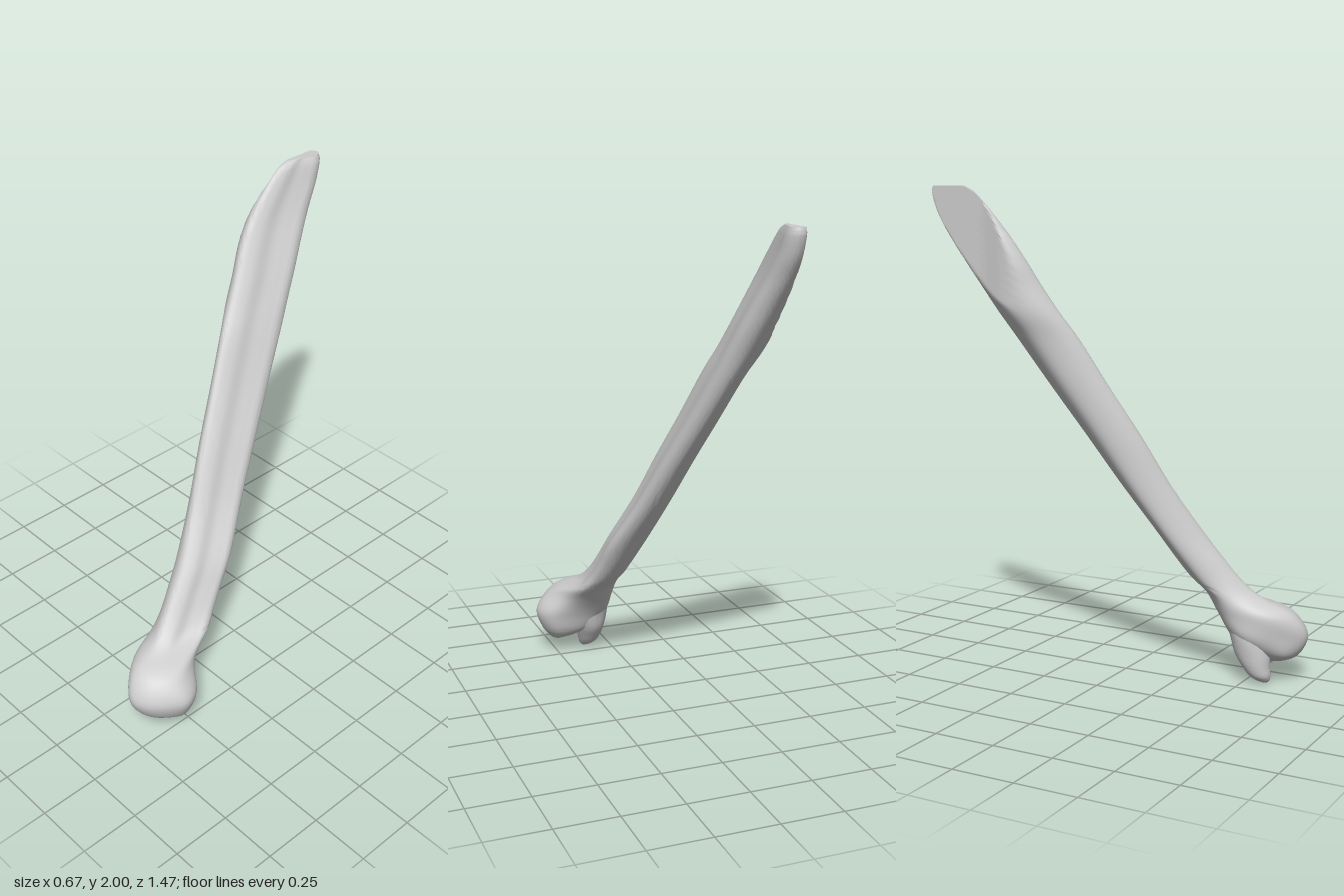
import * as THREE from 'three';
import { toCreasedNormals } from 'three/addons/utils/BufferGeometryUtils.js';

const RING = 60;   // points around each cross-section
const STEPS = 6;   // rows between two given sections

// Skin a stack of closed loops (listed bottom to top, counter-clockwise from above)
function loft(sections, adjust = (p) => p) {
  const count = sections[0].length;
  const columns = [];
  for (let i = 0; i < count; i++) columns.push(new THREE.CatmullRomCurve3(sections.map((s) => s[i])));
  const rows = (sections.length - 1) * STEPS;
  const pos = [], index = [];
  for (let r = 0; r <= rows; r++) {
    const loop = new THREE.CatmullRomCurve3(columns.map((c) => c.getPoint(r / rows)), true);
    for (let i = 0; i < RING; i++) pos.push(...adjust(loop.getPoint(i / RING)).toArray());
  }
  for (let r = 0; r < rows; r++) {
    for (let i = 0; i < RING; i++) {
      const a = r * RING + i, b = r * RING + (i + 1) % RING;
      index.push(a, b, a + RING, b, b + RING, a + RING);
    }
  }
  // End caps as fans around the middle of each end loop
  for (const [row, flip] of [[0, true], [rows, false]]) {
    const mid = new THREE.Vector3();
    for (let i = 0; i < RING; i++) mid.add(new THREE.Vector3().fromArray(pos, (row * RING + i) * 3));
    mid.divideScalar(RING);
    const c = pos.length / 3;
    pos.push(mid.x, mid.y, mid.z);
    for (let i = 0; i < RING; i++) {
      const a = row * RING + i, b = row * RING + (i + 1) % RING;
      index.push(...(flip ? [c, b, a] : [c, a, b]));
    }
  }
  const geo = new THREE.BufferGeometry();
  geo.setAttribute('position', new THREE.Float32BufferAttribute(pos, 3));
  geo.setIndex(index);
  return toCreasedNormals(geo, 1);
}

// Shaft cross-section in unit coordinates: front ridge, grooved side, round back, left edge
const PROFILE = [
  [0.55, 1], [0.75, 0.83], [0.82, 0.58], [0.93, 0.38], [1, 0.23],
  [0.94, 0.08], [0.73, 0], [0.38, 0.1], [0, 0.47], [0.23, 0.85],
];

// Shaft extents: y, xMin, xMax, zMin, zMax
const SHAFT = [
  [0.36, 0.005, 0.2, 0.305, 0.55],
  [0.42, -0.01, 0.172, 0.245, 0.485],
  [0.5, -0.033, 0.152, 0.185, 0.42],
  [0.6, -0.063, 0.132, 0.117, 0.345],
  [0.8, -0.118, 0.06, -0.02, 0.22],
  [1.0, -0.172, 0.0, -0.152, 0.115],
  [1.2, -0.228, -0.06, -0.285, 0.0],
  [1.4, -0.285, -0.115, -0.415, -0.112],
  [1.5, -0.328, -0.14, -0.475, -0.178],
  [1.6, -0.355, -0.165, -0.535, -0.24],
  [1.7, -0.38, -0.193, -0.595, -0.295],
  [1.8, -0.39, -0.22, -0.657, -0.36],
  [1.9, -0.385, -0.238, -0.713, -0.445],
  [1.98, -0.37, -0.25, -0.735, -0.53],
  [2.0, -0.35, -0.258, -0.73, -0.575],
];

// Rounded head loops: height, then x and z pairs in the profile's order
const HEAD = [
  [0.068, [[0.24, 0.59], [0.25, 0.59], [0.265, 0.575], [0.27, 0.56], [0.26, 0.54],
    [0.245, 0.53], [0.23, 0.54], [0.22, 0.555], [0.215, 0.57], [0.225, 0.585]]],
  [0.082, [[0.2, 0.64], [0.23, 0.635], [0.265, 0.6], [0.285, 0.56], [0.26, 0.52],
    [0.22, 0.51], [0.18, 0.52], [0.16, 0.55], [0.15, 0.59], [0.17, 0.625]]],
  [0.12, [[0.17, 0.7], [0.23, 0.685], [0.29, 0.62], [0.312, 0.56], [0.28, 0.5],
    [0.2, 0.48], [0.13, 0.48], [0.1, 0.52], [0.09, 0.57], [0.11, 0.66]]],
  [0.2, [[0.165, 0.735], [0.24, 0.71], [0.31, 0.63], [0.335, 0.565], [0.3, 0.49],
    [0.2, 0.45], [0.1, 0.43], [0.05, 0.46], [0.025, 0.53], [0.08, 0.65]]],
  [0.29, [[0.13, 0.685], [0.19, 0.675], [0.25, 0.62], [0.275, 0.55], [0.25, 0.47],
    [0.2, 0.4], [0.13, 0.365], [0.06, 0.39], [0.016, 0.46], [0.045, 0.6]]],
];

// Pointed spur: y, centre x, centre z, half width, half depth
const SPUR = [
  [0.002, 0.113, 0.58, 0.008, 0.01],
  [0.014, 0.107, 0.573, 0.026, 0.03],
  [0.035, 0.1, 0.562, 0.041, 0.046],
  [0.07, 0.098, 0.547, 0.053, 0.058],
  [0.12, 0.1, 0.53, 0.065, 0.073],
  [0.2, 0.105, 0.51, 0.079, 0.077],
  [0.3, 0.1, 0.47, 0.068, 0.075],
];

// Flat slice along the upper left side
function slice(p) {
  const limit = -0.335 + 0.025 * THREE.MathUtils.clamp((-0.38 - p.z) / 0.1, 0, 1);
  p.x = Math.max(p.x, limit);
  p.y = Math.min(p.y, 2);
  return p;
}

export function createModel() {
  const group = new THREE.Group();
  group.name = 'bone';
  const boneGrey = new THREE.MeshStandardMaterial({ color: 0xcccccc });
  boneGrey.name = 'boneGrey';

  const add = (name, geometry) => {
    const mesh = new THREE.Mesh(geometry, boneGrey);
    mesh.name = name;
    group.add(mesh);
  };

  // Shaft flowing down into the rounded head
  const headLoops = HEAD.map(([y, pts]) => pts.map(([x, z]) => new THREE.Vector3(x, y, z)));
  const shaftLoops = SHAFT.map(([y, x0, x1, z0, z1]) => PROFILE.map(([u, v]) =>
    new THREE.Vector3(x0 + u * (x1 - x0), y, z0 + v * (z1 - z0))));
  add('shaftAndHead', loft([...headLoops, ...shaftLoops], slice));

  // Small pointed spur beside the head
  const spurLoops = SPUR.map(([y, cx, cz, rx, rz]) => Array.from({ length: 10 }, (_, i) => {
    const a = (i / 10) * Math.PI * 2;
    return new THREE.Vector3(cx + rx * Math.sin(a), y, cz + rz * Math.cos(a));
  }));
  add('pointedSpur', loft(spurLoops));

  return group;
}
